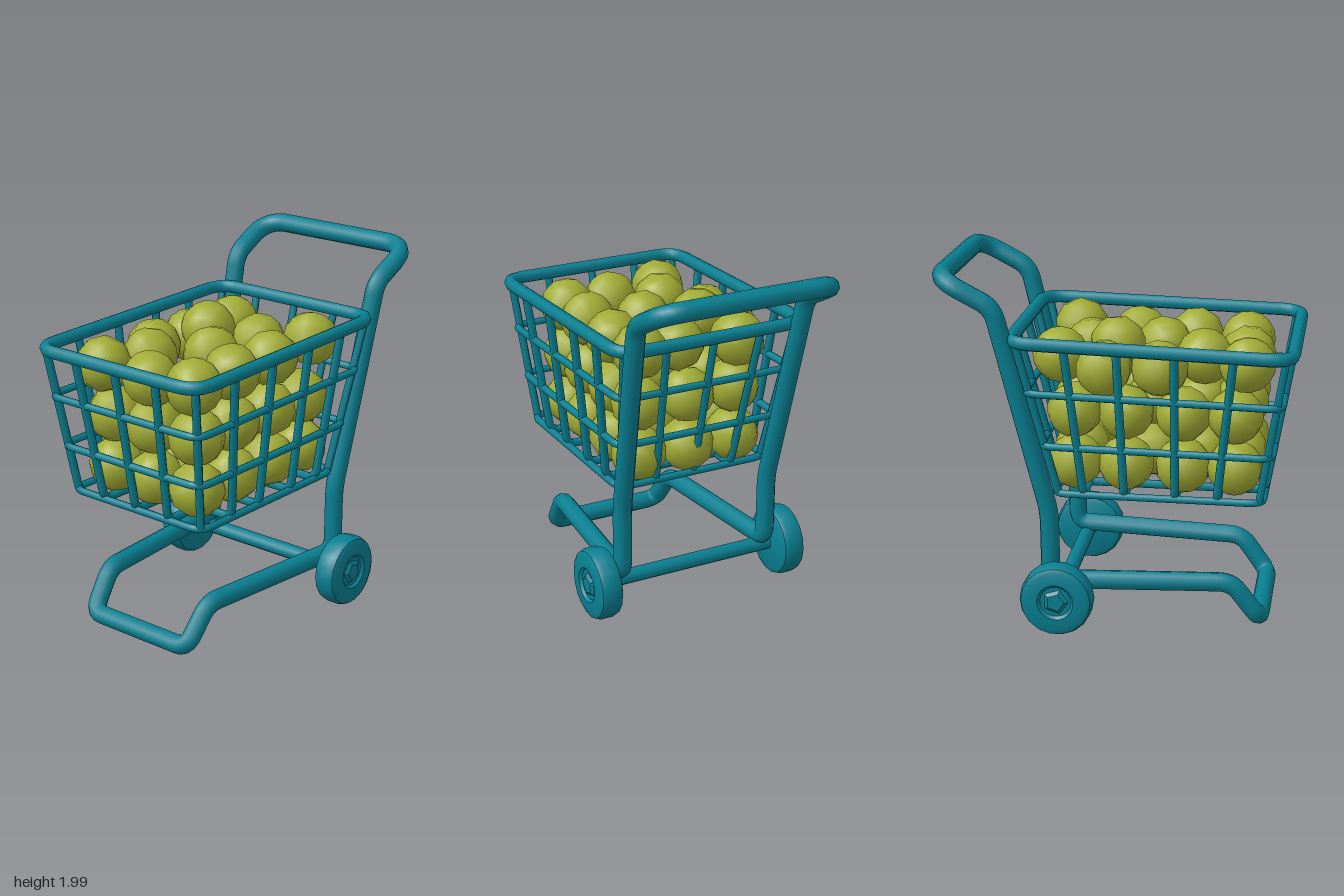
import * as THREE from 'three';
import { toCreasedNormals } from 'three/addons/utils/BufferGeometryUtils.js';

const V = (x, y, z) => new THREE.Vector3(x, y, z);
const lerp = THREE.MathUtils.lerp;

// Tube along straight runs whose corners are rounded off
function tube(points, radius, corner, closed, segments, sides = 8) {
  const path = new THREE.CurvePath();
  const n = points.length;
  const cuts = points.map((p, i) => {
    if (!closed && (i === 0 || i === n - 1)) return [p, p];
    return [points[(i + n - 1) % n], points[(i + 1) % n]].map((q) => {
      const d = p.distanceTo(q);
      return p.clone().lerp(q, Math.min(corner, d * 0.45) / d);
    });
  });
  for (let i = 0; i < n; i++) {
    if (closed || (i > 0 && i < n - 1)) path.add(new THREE.QuadraticBezierCurve3(cuts[i][0], points[i], cuts[i][1]));
    if (closed || i < n - 1) path.add(new THREE.LineCurve3(cuts[i][1], cuts[(i + 1) % n][0]));
  }
  return new THREE.TubeGeometry(path, segments, radius, sides, closed);
}

// Basket cross-section at level t, from floor (0) to rim (1)
const level = (t) => ({
  yF: lerp(0.77, 1.585, t), yB: lerp(0.77, 1.625, t),
  zF: lerp(0.795, 0.935, t), zB: lerp(-0.33, -0.555, t),
  xF: lerp(0.46, 0.555, t), xB: lerp(0.455, 0.545, t),
});

// Point on the basket side wall at depth z
function sidePoint(t, z, s) {
  const l = level(t);
  const k = (z - l.zB) / (l.zF - l.zB);
  return V(s * lerp(l.xB, l.xF, k), lerp(l.yB, l.yF, k), z);
}

export function createModel() {
  const model = new THREE.Group();
  const teal = new THREE.MeshStandardMaterial({ color: 0x098092 });
  teal.name = 'teal';
  const olive = new THREE.MeshStandardMaterial({ color: 0xa2ac35 });
  olive.name = 'olive';
  const add = (name, geometry, material, parent = model) => {
    const mesh = new THREE.Mesh(geometry, material);
    mesh.name = name;
    parent.add(mesh);
    return mesh;
  };

  // One continuous loop: front foot, lower rails, posts and handle
  const half = [
    V(0.34, 0.06, 0.785), V(0.36, 0.27, 0.63), V(0.45, 0.27, -0.355), V(0.45, 0.66, -0.36),
    V(0.5, 1.8, -0.64), V(0.505, 1.915, -0.86), V(0.43, 1.95, -0.93),
  ];
  const mirrored = half.map((p) => V(-p.x, p.y, p.z)).reverse();
  add('frame', tube([...half, ...mirrored], 0.053, 0.07, true, 300, 10), teal);

  // Basket hoops
  const basket = new THREE.Group();
  basket.name = 'basket';
  model.add(basket);
  for (const t of [0, 0.32, 0.67, 1]) {
    const l = level(t);
    const ring = [V(l.xF, l.yF, l.zF), V(l.xB, l.yB, l.zB), V(-l.xB, l.yB, l.zB), V(-l.xF, l.yF, l.zF)];
    const geometry = t === 1 ? tube(ring, 0.037, 0.13, true, 140) : tube(ring, 0.021, 0.08, true, 140);
    add(t === 1 ? 'rim' : 'hoop', geometry, teal, basket);
  }

  // Ribs running down one wall, under the floor and up the opposite wall
  for (const [top, bottom] of [[0.635, 0.55], [0.325, 0.325], [0.02, 0.05], [-0.26, -0.17]]) {
    const u = [sidePoint(1, top, 1), sidePoint(0, bottom, 1), sidePoint(0, bottom, -1), sidePoint(1, top, -1)];
    add('crossRib', tube(u, 0.023, 0.05, false, 80, 6), teal, basket);
  }
  const lo = level(0), hi = level(1);
  for (const s of [-1, 0, 1]) {
    const u = [
      V(s * 0.28, hi.yF, hi.zF), V(s * 0.23, lo.yF, lo.zF),
      V(s * 0.23, lo.yB, lo.zB), V(s * 0.28, hi.yB, hi.zB),
    ];
    add('lengthRib', tube(u, 0.023, 0.05, false, 80, 6), teal, basket);
  }

  // Upright ribs at the four basket corners
  for (const s of [-1, 1]) {
    const front = [V(s * (hi.xF - 0.03), hi.yF, hi.zF - 0.03), V(s * (lo.xF - 0.02), lo.yF, lo.zF - 0.02)];
    const back = [V(s * (hi.xB - 0.03), hi.yB, hi.zB + 0.03), V(s * (lo.xB - 0.02), lo.yB, lo.zB + 0.02)];
    for (const ends of [front, back]) add('cornerRib', tube(ends, 0.023, 0, false, 4, 6), teal, basket);
  }

  // Axle and wheels
  const axle = add('axle', new THREE.CylinderGeometry(0.043, 0.043, 1.1, 10), teal);
  axle.rotation.z = Math.PI / 2;
  axle.position.set(0, 0.205, -0.3);
  const profile = [
    [0, -0.07], [0.165, -0.07], [0.19, -0.058], [0.2, -0.035], [0.2, 0.035], [0.19, 0.058], [0.165, 0.07],
    [0.1, 0.07], [0.085, 0.055], [0, 0.055],
  ].map(([r, y]) => new THREE.Vector2(r, y));
  const wheelGeometry = toCreasedNormals(new THREE.LatheGeometry(profile, 18), 0.7);
  const hubGeometry = toCreasedNormals(new THREE.CylinderGeometry(0.05, 0.08, 0.02, 5), 0.4);
  for (const s of [-1, 1]) {
    const wheel = new THREE.Group();
    wheel.name = s > 0 ? 'leftWheel' : 'rightWheel';
    add('tyre', wheelGeometry, teal, wheel);
    add('hub', hubGeometry, teal, wheel).position.y = 0.06;
    wheel.rotation.z = -s * Math.PI / 2;
    wheel.position.set(s * 0.573, 0.21, -0.3);
    model.add(wheel);
  }

  // Balls: two regular layers with a loose layer on top
  const balls = new THREE.Group();
  balls.name = 'balls';
  model.add(balls);
  const ballGeometry = new THREE.SphereGeometry(0.152, 10, 8);
  const spots = [];
  for (const y of [0.91, 1.2]) {
    for (const x of [-0.29, 0.29])
      for (const z of [0.63, 0.35, 0.04, -0.24]) spots.push([x, y, z]);
    for (const z of [0.64, 0.42, 0.15, -0.25]) spots.push([0, y, z]);
  }
  spots.push(
    [-0.27, 1.5, -0.32], [0.03, 1.48, -0.19], [0.31, 1.52, -0.3], [-0.37, 1.46, -0.07],
    [-0.19, 1.55, -0.02], [0.3, 1.49, 0.04], [-0.37, 1.47, 0.23], [0.03, 1.5, 0.21],
    [0.3, 1.49, 0.36], [-0.2, 1.5, 0.45], [-0.31, 1.49, 0.69], [0.01, 1.47, 0.67], [0.29, 1.48, 0.65],
  );
  spots.forEach(([x, y, z], i) => {
    const ball = add('ball', ballGeometry, olive, balls);
    ball.position.set(x, y, z);
    ball.rotation.set(i * 1.3, i * 0.7, i * 2.1);
  });

  return model;
}
